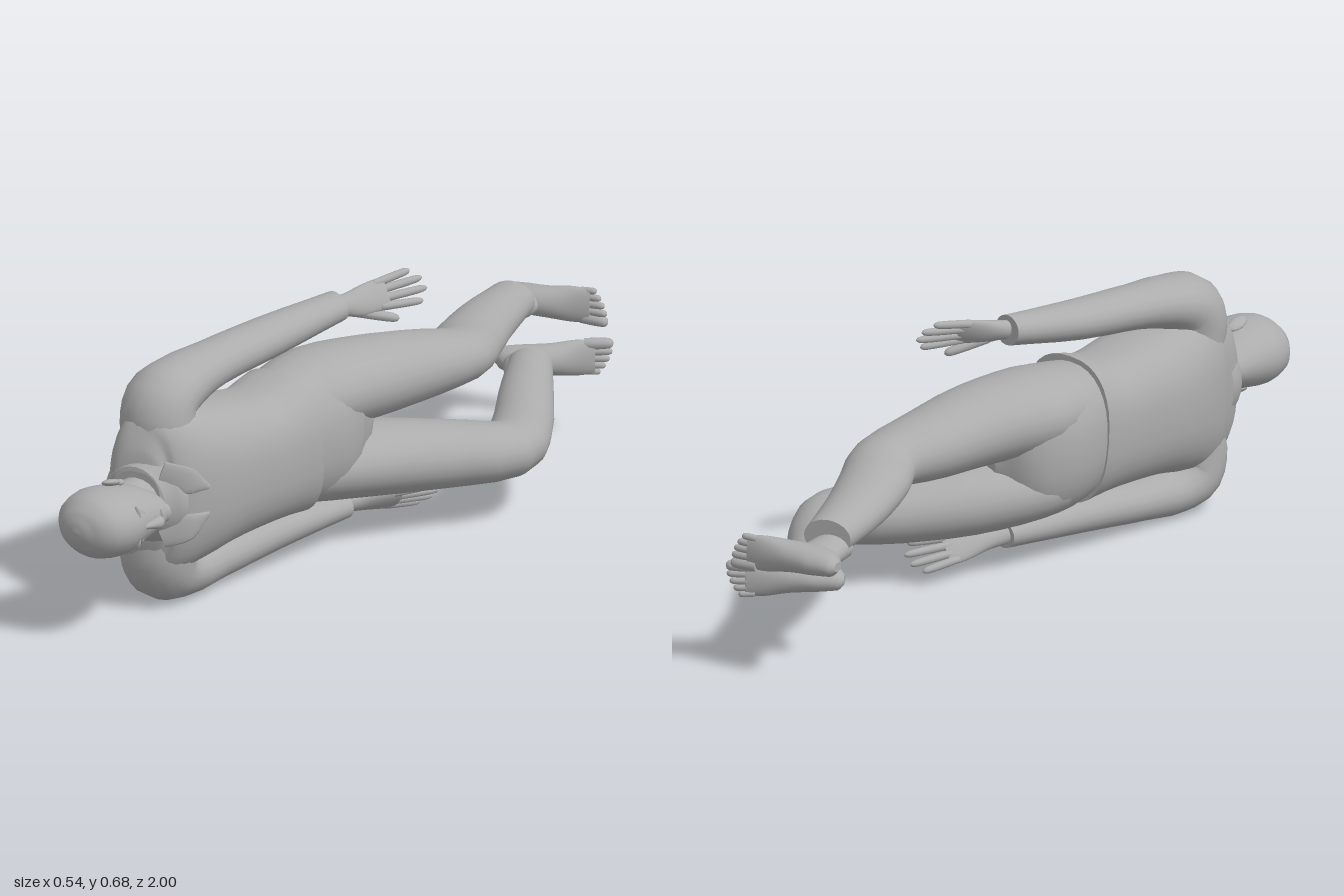
import * as THREE from 'three';

const grey = new THREE.MeshStandardMaterial({ color: 0xacacac, side: THREE.DoubleSide });
grey.name = 'plain grey';
const X = new THREE.Vector3(1, 0, 0);
const Y = new THREE.Vector3(0, 1, 0);
const Z = new THREE.Vector3(0, 0, 1);

// Smooth skin over cross-sections [x, y, z, half-width along ref, half-depth]
function loft(sections, { ref = Y, seg = 20, steps = 3, caps = true, power = 2 } = {}) {
  const centres = new THREE.CatmullRomCurve3(sections.map(s => new THREE.Vector3(s[0], s[1], s[2])));
  const radii = new THREE.CatmullRomCurve3(sections.map(s => new THREE.Vector3(s[3], s[4], 0)), false, 'catmullrom', 0.4);
  const n = (sections.length - 1) * steps;
  const pos = [], idx = [], ends = [];
  for (let i = 0; i <= n; i++) {
    const c = centres.getPoint(i / n), r = radii.getPoint(i / n);
    const t = centres.getTangent(i / n);
    const u = ref.clone().addScaledVector(t, -ref.dot(t)).normalize();
    const v = t.clone().cross(u);
    for (let j = 0; j < seg; j++) {
      const a = j / seg * Math.PI * 2, ca = Math.cos(a), sa = Math.sin(a);
      const p = c.clone()
        .addScaledVector(u, Math.max(r.x, 0.001) * Math.sign(ca) * Math.abs(ca) ** (2 / power))
        .addScaledVector(v, Math.max(r.y, 0.001) * Math.sign(sa) * Math.abs(sa) ** (2 / power));
      pos.push(p.x, p.y, p.z);
      if (i < n) {
        const k = i * seg, m = (j + 1) % seg;
        idx.push(k + j, k + m, k + seg + m, k + j, k + seg + m, k + seg + j);
      }
    }
    if (i === 0 || i === n) ends.push(c);
  }
  // End caps have their own rims so the edge stays crisp
  if (caps) ends.forEach((c, e) => {
    const from = e * n * seg, base = pos.length / 3;
    for (let j = 0; j < seg * 3; j++) pos.push(pos[from * 3 + j]);
    pos.push(c.x, c.y, c.z);
    for (let j = 0; j < seg; j++) {
      const a = base + j, b = base + (j + 1) % seg;
      if (e) idx.push(a, b, base + seg); else idx.push(b, a, base + seg);
    }
  });
  const g = new THREE.BufferGeometry();
  g.setAttribute('position', new THREE.Float32BufferAttribute(pos, 3));
  g.setIndex(idx);
  g.computeVertexNormals();
  return g;
}

function add(parent, name, geometry) {
  const mesh = new THREE.Mesh(geometry, grey);
  mesh.name = name;
  parent.add(mesh);
  return mesh;
}

function blob(parent, name, x, y, z, rx, ry, rz) {
  const mesh = add(parent, name, new THREE.SphereGeometry(1, 14, 10));
  mesh.position.set(x, y, z);
  mesh.scale.set(rx, ry, rz);
  return mesh;
}

// Rounded finger or toe between two local points
function digit(parent, name, a, b, r) {
  const at = (t, k) => [...a.map((v, i) => v + (b[i] - v) * t), r * k, r * k];
  add(parent, name, loft([at(0, 1), at(0.5, 1), at(0.85, 0.9), at(0.96, 0.6), at(1, 0.1)],
    { ref: Z, seg: 10, steps: 2 }));
}

// Local frame: x along the fingers or toes, z across
function framed(parent, name, origin, along, up) {
  const group = new THREE.Group();
  group.name = name;
  const x = new THREE.Vector3(...along).normalize();
  const z = x.clone().cross(new THREE.Vector3(...up)).normalize();
  const y = z.clone().cross(x);
  group.quaternion.setFromRotationMatrix(new THREE.Matrix4().makeBasis(x, y, z));
  group.position.set(...origin);
  parent.add(group);
  return group;
}

// s = +1 puts the thumb or big toe on local +z
function hand(parent, name, origin, along, up, s) {
  const g = framed(parent, name, origin, along, up);
  add(g, 'palm', loft([[-0.05, 0, 0, 0.026, 0.024], [0, 0, 0, 0.027, 0.022], [0.05, 0, 0.004 * s, 0.038, 0.019],
    [0.1, 0, 0, 0.04, 0.014], [0.125, 0, 0, 0.034, 0.009]], { ref: Z }));
  [[0.03, 0.044, 0.215], [0.011, 0.016, 0.235], [-0.01, -0.012, 0.23], [-0.029, -0.038, 0.205]].forEach(([z0, z1, len]) =>
    digit(g, 'finger', [0.1, 0, z0 * s], [len, -0.008, z1 * s], 0.0105));
  digit(g, 'thumb', [0.035, -0.004, 0.025 * s], [0.14, -0.01, 0.07 * s], 0.013);
}

function foot(parent, name, heel, along, up, s) {
  const g = framed(parent, name, heel, along, up);
  add(g, 'footBody', loft([[0, 0.04, 0, 0.012, 0.018], [0.015, 0.04, 0, 0.027, 0.034], [0.07, 0.05, 0, 0.036, 0.05],
    [0.14, 0.042, 0, 0.04, 0.04], [0.2, 0.025, 0, 0.047, 0.023], [0.245, 0.015, 0, 0.044, 0.012]], { ref: Z }));
  add(g, 'ankle', loft([[0.08, 0.03, 0, 0.03, 0.06], [0.081, 0.08, 0, 0.034, 0.056], [0.082, 0.17, 0, 0.038, 0.046]], { ref: Z }));
  [[0.034, 0.292, 0.015], [0.014, 0.29, 0.0105], [-0.004, 0.283, 0.01], [-0.021, 0.273, 0.0095], [-0.037, 0.26, 0.009]]
    .forEach(([z, len, r]) => digit(g, 'toe', [0.22, 0.016, z * s], [len, 0.011, z * s * 1.08], r));
}

export function createModel() {
  const model = new THREE.Group();
  model.name = 'recliningFigure';

  // Jacket, from hem to neck
  add(model, 'jacket', loft([
    [-0.08, 0.317, 0.195, 0.187, 0.147], [-0.087, 0.308, 0.3, 0.172, 0.142], [-0.1, 0.315, 0.45, 0.186, 0.153],
    [-0.108, 0.315, 0.55, 0.205, 0.147], [-0.116, 0.313, 0.63, 0.22, 0.126], [-0.12, 0.312, 0.685, 0.2, 0.094],
    [-0.115, 0.311, 0.71, 0.14, 0.078], [-0.112, 0.31, 0.722, 0.075, 0.065]], { seg: 36, power: 2.5 }));
  add(model, 'collar', loft([[-0.108, 0.31, 0.67, 0.125, 0.12], [-0.108, 0.31, 0.7, 0.115, 0.112],
    [-0.105, 0.31, 0.735, 0.09, 0.088]], { seg: 28, caps: false }));
  for (const s of [-1, 1]) {
    add(model, 'lapel', loft([[-0.04, 0.31 + 0.085 * s, 0.715, 0.03, 0.006], [0.01, 0.31 + 0.06 * s, 0.67, 0.035, 0.006],
      [0.032, 0.31 + 0.035 * s, 0.615, 0.006, 0.005]], { seg: 12 }));
  }

  // Trousers
  add(model, 'trouserSeat', loft([
    [-0.085, 0.317, 0.24, 0.165, 0.125], [-0.085, 0.318, 0.18, 0.178, 0.138], [-0.083, 0.32, 0.09, 0.19, 0.15],
    [-0.07, 0.32, 0.01, 0.188, 0.132], [-0.055, 0.315, -0.05, 0.13, 0.09], [-0.05, 0.312, -0.085, 0.05, 0.04]], { seg: 32, power: 2.3 }));
  add(model, 'upperTrouserLeg', loft([
    [-0.09, 0.4, 0.15, 0.1, 0.125], [-0.078, 0.41, 0.05, 0.105, 0.14], [-0.04, 0.408, -0.1, 0.1, 0.126], [-0.015, 0.397, -0.25, 0.088, 0.108],
    [0.008, 0.386, -0.4, 0.068, 0.09], [-0.04, 0.375, -0.5, 0.062, 0.09], [-0.105, 0.368, -0.65, 0.057, 0.08],
    [-0.165, 0.362, -0.835, 0.048, 0.062]], { seg: 24 }));
  add(model, 'lowerTrouserLeg', loft([
    [-0.09, 0.23, 0.15, 0.09, 0.12], [-0.07, 0.22, 0.05, 0.094, 0.135], [0, 0.205, -0.1, 0.093, 0.122], [0.1, 0.192, -0.25, 0.083, 0.102],
    [0.188, 0.187, -0.375, 0.07, 0.085], [0.14, 0.195, -0.49, 0.063, 0.078], [0.05, 0.215, -0.62, 0.056, 0.07],
    [-0.055, 0.235, -0.77, 0.047, 0.056]], { seg: 24 }));

  // Sleeves, growing out of the shoulders and bending toward the hips
  add(model, 'upperSleeve', loft([
    [-0.12, 0.4, 0.6, 0.1, 0.085], [-0.127, 0.475, 0.618, 0.1, 0.086], [-0.13, 0.53, 0.6, 0.097, 0.085], [-0.127, 0.56, 0.535, 0.088, 0.068],
    [-0.115, 0.58, 0.42, 0.072, 0.056], [-0.09, 0.598, 0.23, 0.064, 0.05], [-0.045, 0.625, 0.01, 0.045, 0.038]], { ref: X }));
  add(model, 'lowerSleeve', loft([
    [-0.12, 0.224, 0.6, 0.1, 0.085], [-0.127, 0.149, 0.618, 0.1, 0.086], [-0.13, 0.094, 0.6, 0.097, 0.085], [-0.127, 0.068, 0.535, 0.088, 0.066],
    [-0.115, 0.069, 0.42, 0.072, 0.056], [-0.09, 0.085, 0.23, 0.064, 0.05], [-0.05, 0.092, -0.015, 0.045, 0.035]], { ref: X }));
  hand(model, 'upperHand', [-0.035, 0.625, 0.005], [0.42, 0.12, -0.88], [0.78, 0.5, 0.44], 1);
  hand(model, 'lowerHand', [-0.04, 0.09, -0.05], [0.4, -0.1, -0.9], [0.65, -0.66, 0.36], -1);

  // Bare feet
  foot(model, 'upperFoot', [-0.272, 0.335, -0.958], [0.985, 0, -0.13], [0.13, 0, 0.985], 1);
  foot(model, 'lowerFoot', [-0.185, 0.23, -0.8], [0.84, 0, -0.54], [0.54, 0, 0.84], -1);

  // Head, facing +x
  const head = new THREE.Group();
  head.name = 'head';
  model.add(head);
  add(head, 'neck', loft([[-0.125, 0.31, 0.62, 0.065, 0.07], [-0.115, 0.31, 0.7, 0.058, 0.06], [-0.1, 0.31, 0.8, 0.06, 0.065]]));
  add(head, 'skull', loft([
    [-0.076, 0.31, 0.732, 0.03, 0.07], [-0.076, 0.31, 0.745, 0.045, 0.088], [-0.077, 0.31, 0.79, 0.067, 0.098],
    [-0.079, 0.31, 0.85, 0.081, 0.108], [-0.08, 0.31, 0.9, 0.088, 0.113], [-0.083, 0.31, 0.95, 0.078, 0.099],
    [-0.085, 0.31, 0.982, 0.053, 0.066], [-0.085, 0.31, 0.996, 0.026, 0.032], [-0.085, 0.31, 1, 0.003, 0.004]], { seg: 28 }));
  add(head, 'nose', loft([[0.018, 0.31, 0.872, 0.007, 0.008], [0.026, 0.31, 0.84, 0.01, 0.014],
    [0.03, 0.31, 0.815, 0.017, 0.017], [0.02, 0.31, 0.802, 0.012, 0.01]], { seg: 12 }));
  blob(head, 'upperLip', 0.017, 0.31, 0.786, 0.01, 0.023, 0.006);
  blob(head, 'lowerLip', 0.014, 0.31, 0.776, 0.01, 0.02, 0.006);
  blob(head, 'chin', 0, 0.31, 0.752, 0.018, 0.024, 0.016);
  for (const s of [-1, 1]) {
    blob(head, 'eye', 0.009, 0.31 + 0.033 * s, 0.86, 0.012, 0.014, 0.008);
    blob(head, 'brow', 0.013, 0.31 + 0.034 * s, 0.879, 0.013, 0.023, 0.006);
    const ear = blob(head, 'ear', -0.09, 0.31 + 0.087 * s, 0.85, 0.018, 0.009, 0.033);
    ear.rotation.x = 0.25 * -s;
    ear.rotation.z = 0.35 * s;
    blob(head, 'earLobe', -0.083, 0.31 + 0.082 * s, 0.825, 0.01, 0.008, 0.012);
  }
  return model;
}
